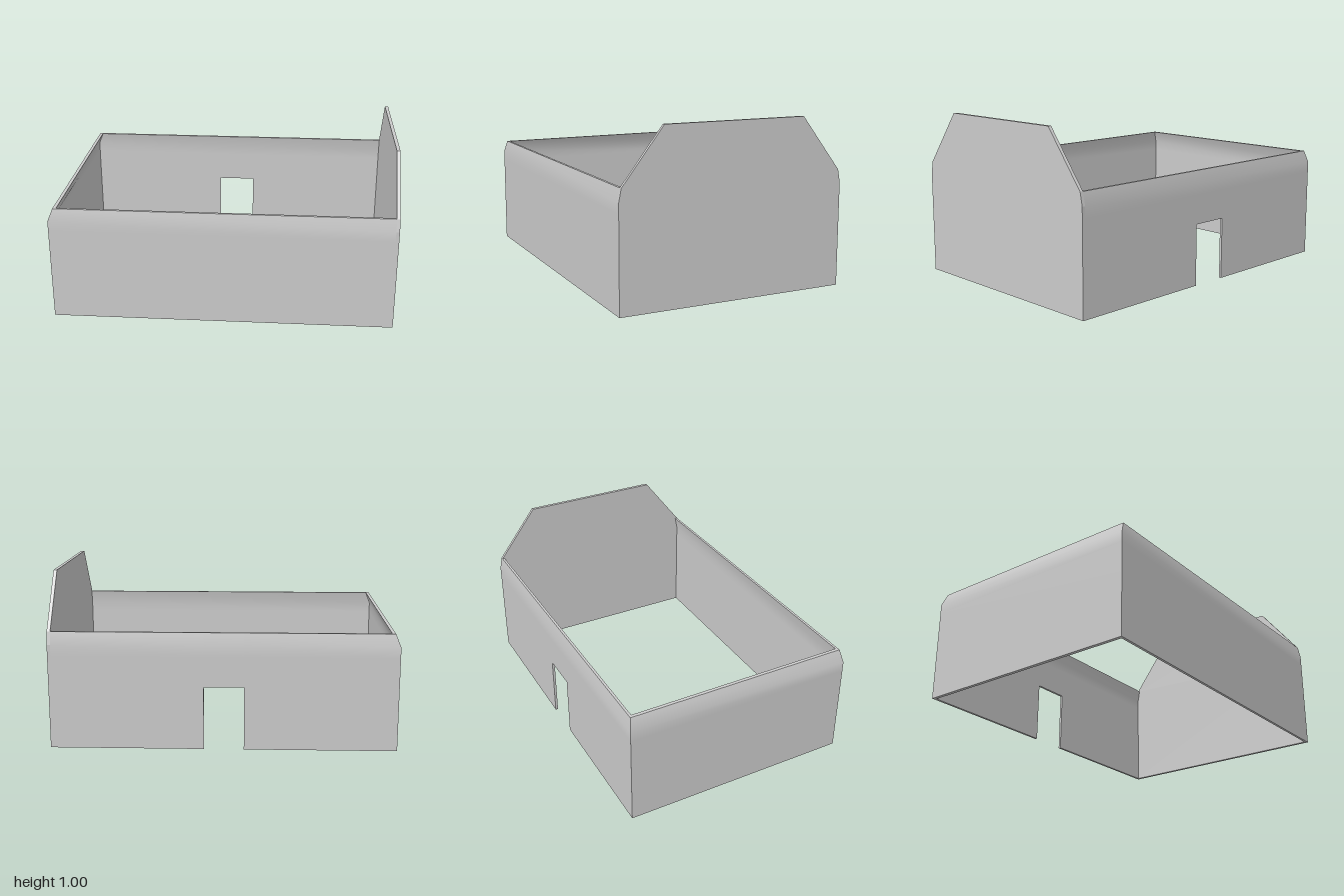
import * as THREE from 'three';
import { toCreasedNormals } from 'three/addons/utils/BufferGeometryUtils.js';

const GABLE_X = 0.98;

// Wall levels: height, outer and inner half-width (x) and half-depth (z)
const LEVELS = [
  { y: 0, outer: [1, 0.69], inner: [0.98, 0.675] },
  { y: 0.37, outer: [1, 0.69], inner: [0.98, 0.675] },
  { y: 0.55, outer: [1, 0.69], inner: [0.98, 0.675] },
  { y: 0.61, outer: [1, 0.69], inner: [0.98, 0.675] },
  { y: 0.685, outer: [0.97, 0.675], inner: [0.95, 0.66] },
];

// Stations round the U of walls; x = null marks a mitred corner
const STATIONS = [
  { x: GABLE_X, side: 1 },
  { x: null, side: 1 },
  { x: null, side: -1 },
  { x: -0.12, side: -1 },
  { x: 0.11, side: -1 },
  { x: GABLE_X, side: -1 },
];
const DOOR_COLUMN = 3;

function buildWalls() {
  const point = (i, j, skin) => {
    const s = STATIONS[i], [w, d] = LEVELS[j][skin];
    return [s.x === null ? -w : s.x, LEVELS[j].y, s.side * d];
  };
  const out = (i, j) => point(i, j, 'outer');
  const inn = (i, j) => point(i, j, 'inner');
  const pos = [];
  const quad = (a, b, c, d) => pos.push(...a, ...b, ...c, ...a, ...c, ...d);
  const rows = LEVELS.length - 1, columns = STATIONS.length - 1;
  const solid = (i, j) => j >= 0 && j < rows && !(i === DOOR_COLUMN && j === 0);

  for (let i = 0; i < columns; i++) {
    for (let j = 0; j < rows; j++) {
      if (!solid(i, j)) continue;
      const k = i + 1, t = j + 1;
      // Outer and inner skins
      quad(out(i, j), out(i, t), out(k, t), out(k, j));
      quad(inn(k, j), inn(k, t), inn(i, t), inn(i, j));
      // Top rim, bottom rim and lintel
      if (!solid(i, t)) quad(out(i, t), inn(i, t), inn(k, t), out(k, t));
      if (!solid(i, j - 1)) quad(out(k, j), inn(k, j), inn(i, j), out(i, j));
      // Door jambs
      if (k < columns && !solid(k, j)) quad(out(k, j), out(k, t), inn(k, t), inn(k, j));
      if (i > 0 && !solid(i - 1, j)) quad(inn(i, j), inn(i, t), out(i, t), out(i, j));
    }
  }
  const geo = new THREE.BufferGeometry();
  geo.setAttribute('position', new THREE.Float32BufferAttribute(pos, 3));
  return toCreasedNormals(geo, 0.5);
}

function buildGable() {
  const half = [[0.69, 0], [0.69, 0.61], [0.675, 0.685], [0.43, 1]];
  const outline = [...half, ...half.map(([z, y]) => [-z, y]).reverse()];
  const shape = new THREE.Shape(outline.map(([z, y]) => new THREE.Vector2(z, y)));
  const geo = new THREE.ExtrudeGeometry(shape, { depth: 1 - GABLE_X, bevelEnabled: false });
  return geo.rotateY(Math.PI / 2).translate(GABLE_X, 0, 0);
}

export function createModel() {
  const group = new THREE.Group();
  group.name = 'openBuildingShell';
  const material = new THREE.MeshStandardMaterial({ color: 0xcccccc });
  const add = (name, geo) => {
    const mesh = new THREE.Mesh(geo, material);
    mesh.name = name;
    group.add(mesh);
  };
  add('wallsWithDoorway', buildWalls());
  add('gableWall', buildGable());
  return group;
}
